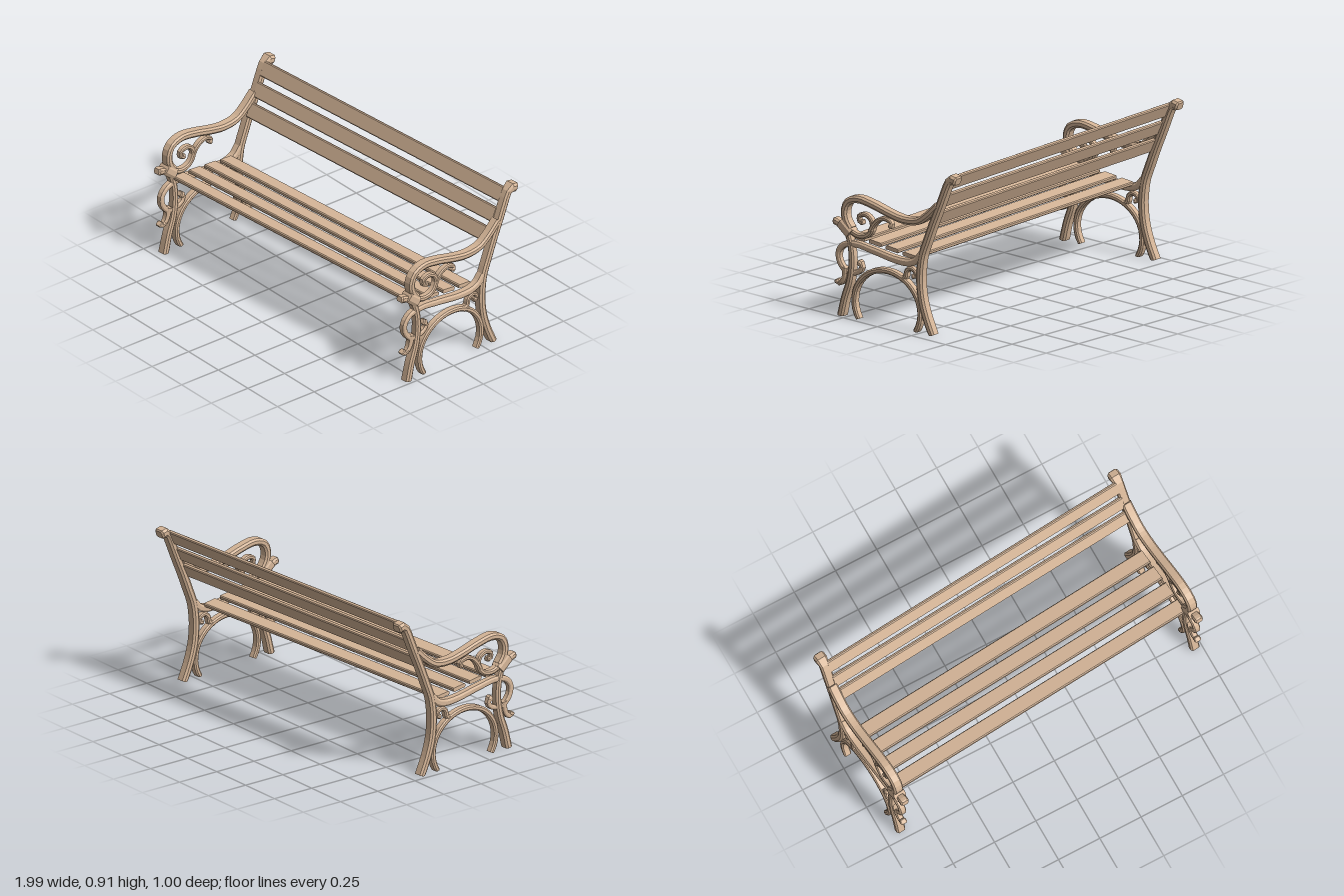
import * as THREE from 'three';

const material = new THREE.MeshStandardMaterial({ color: 0xd6b698, flatShading: true });

// Sweeps a chamfered bar (width across x, depth in the z-y plane) along [z, y] points.
// "end" is the size at the far end; "knob" swells and rounds off the last stretch.
function sweep(points, width, depth, { segments = 24, end = 1, knob = 0 } = {}) {
  const curve = new THREE.CatmullRomCurve3(points.map(([z, y]) => new THREE.Vector3(0, y, z)));
  const w = width / 2, d = depth / 2, c = 0.45;
  const section = [
    [w, -d * c], [w, d * c], [w * 0.7, d], [-w * 0.7, d],
    [-w, d * c], [-w, -d * c], [-w * 0.7, -d], [w * 0.7, -d]];
  const n = section.length, position = [], index = [];
  const stops = Array.from({ length: segments + 1 }, (_, i) => i / segments);
  if (knob) stops.splice(-1, 0, 1 - 0.3 / segments);
  stops.forEach((t, i) => {
    const p = curve.getPointAt(t), tan = curve.getTangentAt(t);
    let s = 1 + (end - 1) * t;
    const left = stops.length - 1 - i;
    if (knob && left < 3) s *= left === 0 ? knob * 0.75 : knob;
    for (const [a, b] of section) {
      position.push(a * s, Math.max(0, p.y + tan.z * b * s), p.z - tan.y * b * s);
    }
  });
  const last = (stops.length - 1) * n;
  for (let i = 0; i < stops.length - 1; i++) {
    for (let j = 0; j < n; j++) {
      const a = i * n + j, b = i * n + (j + 1) % n;
      index.push(a, b, b + n, a, b + n, a + n);
    }
  }
  for (let j = 1; j < n - 1; j++) {
    index.push(0, j + 1, j, last, last + j, last + j + 1);
  }
  const g = new THREE.BufferGeometry();
  g.setAttribute('position', new THREE.Float32BufferAttribute(position, 3));
  g.setIndex(index);
  g.computeVertexNormals();
  return g;
}

// Arch between the legs, a little over half an ellipse
function archPoints() {
  const points = [];
  for (let i = 0; i <= 16; i++) {
    const a = THREE.MathUtils.degToRad(-30 + i * 15);
    points.push([0.055 + 0.226 * Math.cos(a), 0.1 + 0.2 * Math.sin(a)]);
  }
  return points;
}

function endFrameParts() {
  return {
    backPost: sweep([[-0.255, 0], [-0.213, 0.094], [-0.183, 0.191], [-0.172, 0.288],
      [-0.175, 0.357], [-0.188, 0.435], [-0.222, 0.524], [-0.26, 0.62], [-0.302, 0.717],
      [-0.346, 0.823], [-0.366, 0.867], [-0.392, 0.887], [-0.424, 0.878]],
    0.054, 0.042, { segments: 30, knob: 1.22 }),
    frontLeg: sweep([[0.368, 0], [0.341, 0.108], [0.31, 0.197], [0.296, 0.28],
      [0.296, 0.352], [0.31, 0.424], [0.335, 0.476], [0.371, 0.504], [0.42, 0.518]],
    0.054, 0.042, { segments: 22, end: 0.75, knob: 1.2 }),
    armrest: sweep([[0.305, 0.49], [0.335, 0.532], [0.343, 0.584], [0.319, 0.637],
      [0.252, 0.662], [0.147, 0.648], [0.036, 0.62], [-0.061, 0.604], [-0.158, 0.615],
      [-0.227, 0.662], [-0.291, 0.723]],
    0.056, 0.04, { segments: 30 }),
    collar: sweep([[0.368, 0.517], [0.335, 0.49], [0.302, 0.463]], 0.066, 0.062, { segments: 2 }),
    seatRail: sweep([[-0.183, 0.435], [-0.144, 0.393], [-0.089, 0.374], [-0.006, 0.374],
      [0.147, 0.396], [0.271, 0.41], [0.346, 0.396], [0.385, 0.357], [0.388, 0.313],
      [0.368, 0.274], [0.335, 0.249], [0.285, 0.249], [0.242, 0.266], [0.23, 0.298],
      [0.255, 0.317]],
    0.05, 0.042, { segments: 44, end: 0.62, knob: 1.2 }),
    legHook: sweep([[0.341, 0.269], [0.346, 0.219], [0.363, 0.186], [0.388, 0.175],
      [0.402, 0.194]], 0.042, 0.034, { segments: 10, end: 0.7, knob: 1.25 }),
    legArch: sweep(archPoints(), 0.042, 0.03, { segments: 28 }),
    archScroll: sweep([[-0.036, 0.274], [-0.07, 0.29], [-0.078, 0.324], [-0.102, 0.343],
      [-0.133, 0.332], [-0.139, 0.307], [-0.114, 0.302]],
    0.04, 0.028, { segments: 16, end: 0.75, knob: 1.2 }),
    armScroll: sweep([[0.313, 0.482], [0.252, 0.46], [0.194, 0.471], [0.158, 0.515],
      [0.169, 0.565], [0.211, 0.584], [0.249, 0.568], [0.244, 0.537], [0.219, 0.54]],
    0.042, 0.032, { segments: 26, end: 0.7, knob: 1.2 }),
    armScrollBranch: sweep([[0.169, 0.501], [0.141, 0.546], [0.105, 0.576], [0.061, 0.584],
      [0.028, 0.565], [0.039, 0.54]], 0.04, 0.028, { segments: 16, end: 0.75, knob: 1.2 }),
  };
}

// Plank along x with chamfered long edges
function slatGeometry(length, height, depth) {
  const h = height / 2, d = depth / 2, c = 0.005;
  const shape = new THREE.Shape([
    [-d, -h + c], [-d + c, -h], [d - c, -h], [d, -h + c],
    [d, h - c], [d - c, h], [-d + c, h], [-d, h - c]].map(([x, y]) => new THREE.Vector2(x, y)));
  return new THREE.ExtrudeGeometry(shape, { depth: length, bevelEnabled: false })
    .translate(0, 0, -length / 2).rotateY(Math.PI / 2);
}

export function createModel() {
  const bench = new THREE.Group();
  bench.name = 'bench';

  // Two cast end frames
  const parts = endFrameParts();
  for (const [side, x] of [['left', 0.935], ['right', -0.935]]) {
    const frame = new THREE.Group();
    frame.name = side + 'EndFrame';
    for (const [name, geometry] of Object.entries(parts)) {
      const mesh = new THREE.Mesh(geometry, material);
      mesh.name = name;
      frame.add(mesh);
    }
    frame.position.x = x;
    bench.add(frame);
  }

  const addSlat = (name, geometry, y, z, tilt) => {
    const slat = new THREE.Mesh(geometry, material);
    slat.name = name;
    slat.position.set(0, y, z);
    slat.rotation.x = tilt;
    bench.add(slat);
  };

  // Seat slats follow the rail, sloping down to the back
  const seatSlat = slatGeometry(1.84, 0.022, 0.086);
  [[0.438, 0.272], [0.43, 0.157], [0.417, 0.042], [0.403, -0.073]]
    .forEach(([y, z], i) => addSlat('seatSlat' + (i + 1), seatSlat, y, z, -0.11));

  // Back slats lean with the posts
  const backSlat = slatGeometry(1.84, 0.085, 0.022);
  [[0.638, -0.248], [0.743, -0.296], [0.85, -0.347]]
    .forEach(([y, z], i) => addSlat('backSlat' + (i + 1), backSlat, y, z, -0.44));

  // The bench stands slightly turned
  bench.rotation.y = 0.08;
  const model = new THREE.Group();
  model.name = 'parkBench';
  model.add(bench);
  return model;
}
